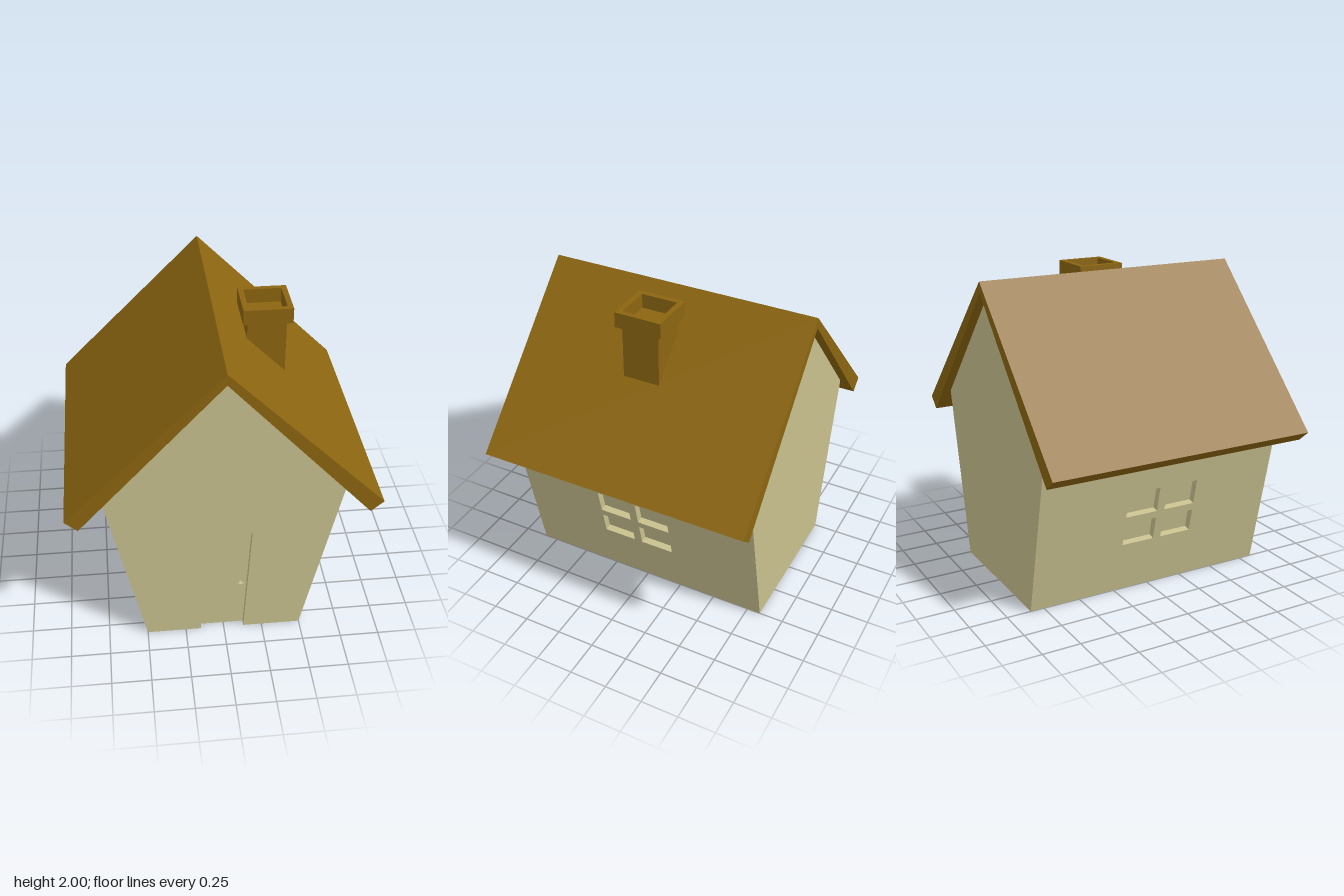
import * as THREE from 'three';

const wallMat = new THREE.MeshStandardMaterial({ color: 0xc8c08e });
const roofMat = new THREE.MeshStandardMaterial({ color: 0x8b6510 });

const polygon = (pts) => new THREE.Shape(pts.map(([x, y]) => new THREE.Vector2(x, y)));
const rect = (x0, x1, y0, y1) => [[x0, y0], [x1, y0], [x1, y1], [x0, y1]];

function extrude(name, shape, z0, z1, mat) {
  const geo = new THREE.ExtrudeGeometry(shape, { depth: z1 - z0, bevelEnabled: false });
  geo.translate(0, 0, z0);
  const mesh = new THREE.Mesh(geo, mat);
  mesh.name = name;
  return mesh;
}

function box(name, x0, x1, y0, y1, z0, z1, mat) {
  const mesh = new THREE.Mesh(new THREE.BoxGeometry(x1 - x0, y1 - y0, z1 - z0), mat);
  mesh.position.set((x0 + x1) / 2, (y0 + y1) / 2, (z0 + z1) / 2);
  mesh.name = name;
  return mesh;
}

export function createModel() {
  const house = new THREE.Group();
  house.name = 'house';

  // Dimensions of the leaning walls
  const base = 0.5, eaveX = 0.745, eaveY = 1.12, apexY = 1.93;
  const back = -0.84, front = 0.84, doorZ = 0.8, inset = 0.045;
  const len = Math.hypot(eaveX - base, eaveY);
  const upX = (eaveX - base) / len, upY = eaveY / len;
  const bandLow = 0.3, bandHigh = 0.8;
  // Point on the right-hand wall: s along the slope, d inward from its face
  const onWall = (s, d) => [base + upX * s - upY * d, upY * s + upX * d];

  // Body, with a shallow channel in each side for the window panel
  const half = [
    [base, 0], onWall(bandLow, 0), onWall(bandLow, inset),
    onWall(bandHigh, inset), onWall(bandHigh, 0), [eaveX, eaveY],
  ];
  const mirrored = half.map(([x, y]) => [-x, y]).reverse();
  house.add(extrude('walls', polygon([...half, [0, apexY], ...mirrored]), back, doorZ, wallMat));

  // Front wall layer, cut away around the recessed door
  house.add(extrude('frontWall', polygon([
    [0.13, 0], [base, 0], [eaveX, eaveY], [0, apexY], [-eaveX, eaveY], [-base, 0],
    [-0.15, 0], [-0.2, 0.795], [0.175, 0.795],
  ]), doorZ, front, wallMat));

  // Door handle
  house.add(box('doorHandleStem', 0.103, 0.117, 0.35, 0.364, doorZ - 0.005, doorZ + 0.02, wallMat));
  house.add(box('doorHandle', 0.095, 0.126, 0.346, 0.369, doorZ + 0.02, doorZ + 0.035, wallMat));

  // Side panels with four recessed window panes
  for (const side of [1, -1]) {
    const shape = polygon(rect(...[-side * back, -side * doorZ].sort((a, b) => a - b), bandLow, bandHigh));
    for (const [z0, z1] of [[0.055, 0.275], [-0.225, 0]]) {
      for (const [y0, y1] of [[0.345, 0.5], [0.55, 0.72]]) {
        const [u0, u1] = [-side * z0, -side * z1].sort((a, b) => a - b);
        shape.holes.push(polygon(rect(u0, u1, y0 / upY, y1 / upY)));
      }
    }
    const panel = extrude(side > 0 ? 'leftWindowPanel' : 'rightWindowPanel', shape, -inset, 0, wallMat);
    const basis = new THREE.Matrix4().makeBasis(
      new THREE.Vector3(0, 0, -side),
      new THREE.Vector3(side * upX, upY, 0),
      new THREE.Vector3(side * upY, -upX, 0),
    );
    panel.quaternion.setFromRotationMatrix(basis);
    panel.position.x = side * base;
    house.add(panel);
  }

  // Gabled roof
  house.add(extrude('roof', polygon([
    [0, 2], [-0.97, 1.03], [-0.89, 0.96], [0, apexY], [0.89, 0.96], [0.97, 1.03],
  ]), -0.9, 0.9, roofMat));

  // Chimney shaft and its hollow cap
  const chimney = new THREE.Group();
  chimney.name = 'chimney';
  chimney.add(box('chimneyShaft', 0.21, 0.455, 1.5, 1.905, -0.08, 0.165, roofMat));
  const ring = polygon(rect(0.18, 0.49, -0.195, 0.115));
  ring.holes.push(polygon(rect(0.215, 0.455, -0.16, 0.08)));
  const cap = extrude('chimneyCap', ring, 1.9, 2, roofMat);
  cap.rotation.x = -Math.PI / 2;
  chimney.add(cap);
  house.add(chimney);

  return house;
}
